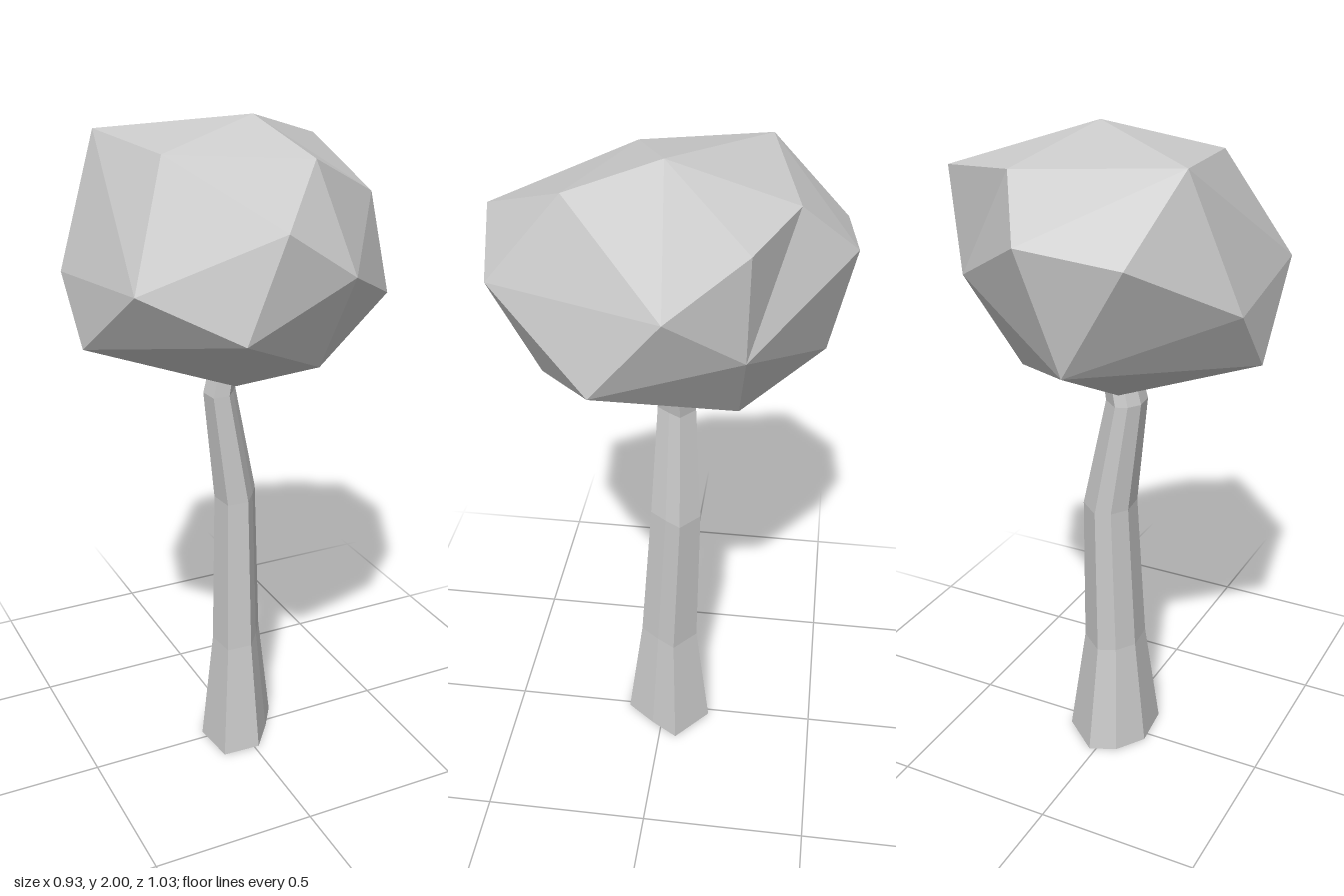
import * as THREE from 'three';
import { ConvexGeometry } from 'three/addons/geometries/ConvexGeometry.js';

const material = new THREE.MeshStandardMaterial({ color: 0xcccccc, flatShading: true });

// Irregular seven-sided trunk: one outline scaled and shifted along a bent spine
function trunkGeometry() {
  const outline = [[0.005, 0.135], [0.075, 0.045], [0.13, -0.04], [0.01, -0.14],
    [-0.07, -0.105], [-0.13, -0.015], [-0.115, 0.13]];
  // height, centre x, centre z, scale
  const rings = [[0, 0.01, -0.015, 1], [0.36, 0.005, -0.015, 0.66], [0.85, 0.01, -0.035, 0.56],
    [1.2, -0.045, -0.03, 0.42], [1.33, -0.018, -0.03, 0.37]];
  const n = outline.length;
  const positions = [];
  const index = [];
  for (const [y, cx, cz, s] of rings) {
    for (const [x, z] of outline) positions.push(cx + x * s, y, cz + z * s);
  }
  for (let r = 0; r < rings.length - 1; r++) {
    for (let i = 0; i < n; i++) {
      const a = r * n + i;
      const b = r * n + (i + 1) % n;
      index.push(a, b, b + n, a, b + n, a + n);
    }
  }
  // End caps
  const top = (rings.length - 1) * n;
  for (let i = 1; i < n - 1; i++) {
    index.push(0, i + 1, i);
    index.push(top, top + i, top + i + 1);
  }
  const geometry = new THREE.BufferGeometry();
  geometry.setAttribute('position', new THREE.Float32BufferAttribute(positions, 3));
  geometry.setIndex(index);
  const flat = geometry.toNonIndexed();
  flat.computeVertexNormals();
  return flat;
}

const hull = (points) => new ConvexGeometry(points.map((p) => new THREE.Vector3(...p)));

export function createModel() {
  const model = new THREE.Group();
  const add = (name, geometry) => {
    const mesh = new THREE.Mesh(geometry, material);
    mesh.name = name;
    model.add(mesh);
  };

  add('trunk', trunkGeometry());

  // Corners shared by the crown and its shoulder
  const peak = [0.045, 2, -0.005];
  const backTop = [0.125, 1.925, -0.365];
  const side = [0.465, 1.745, -0.055];
  const sideBack = [0.35, 1.59, -0.255];

  // Faceted crown
  add('crown', hull([
    peak, backTop, side, sideBack,
    [0.1, 1.915, 0.26], [-0.275, 1.93, 0.11], [-0.33, 1.95, -0.265], // upper
    [-0.11, 1.79, 0.515], [0.105, 1.65, 0.48], [0.41, 1.49, 0.145], // front
    [-0.21, 1.51, 0.49], [-0.425, 1.61, 0.28],
    [-0.465, 1.57, -0.2], [-0.465, 1.385, -0.035], // right side
    [-0.265, 1.74, -0.49], [0.025, 1.77, -0.52], [-0.07, 1.42, -0.455], // back
    [-0.085, 1.28, 0.155], [0.08, 1.37, 0.34], [0.18, 1.345, -0.23], [-0.09, 1.275, -0.165], // underside
  ]));

  // Corner that juts out beside a shallow hollow
  add('crownShoulder', hull([[0.375, 1.895, -0.26], peak, backTop, side, sideBack]));

  return model;
}
